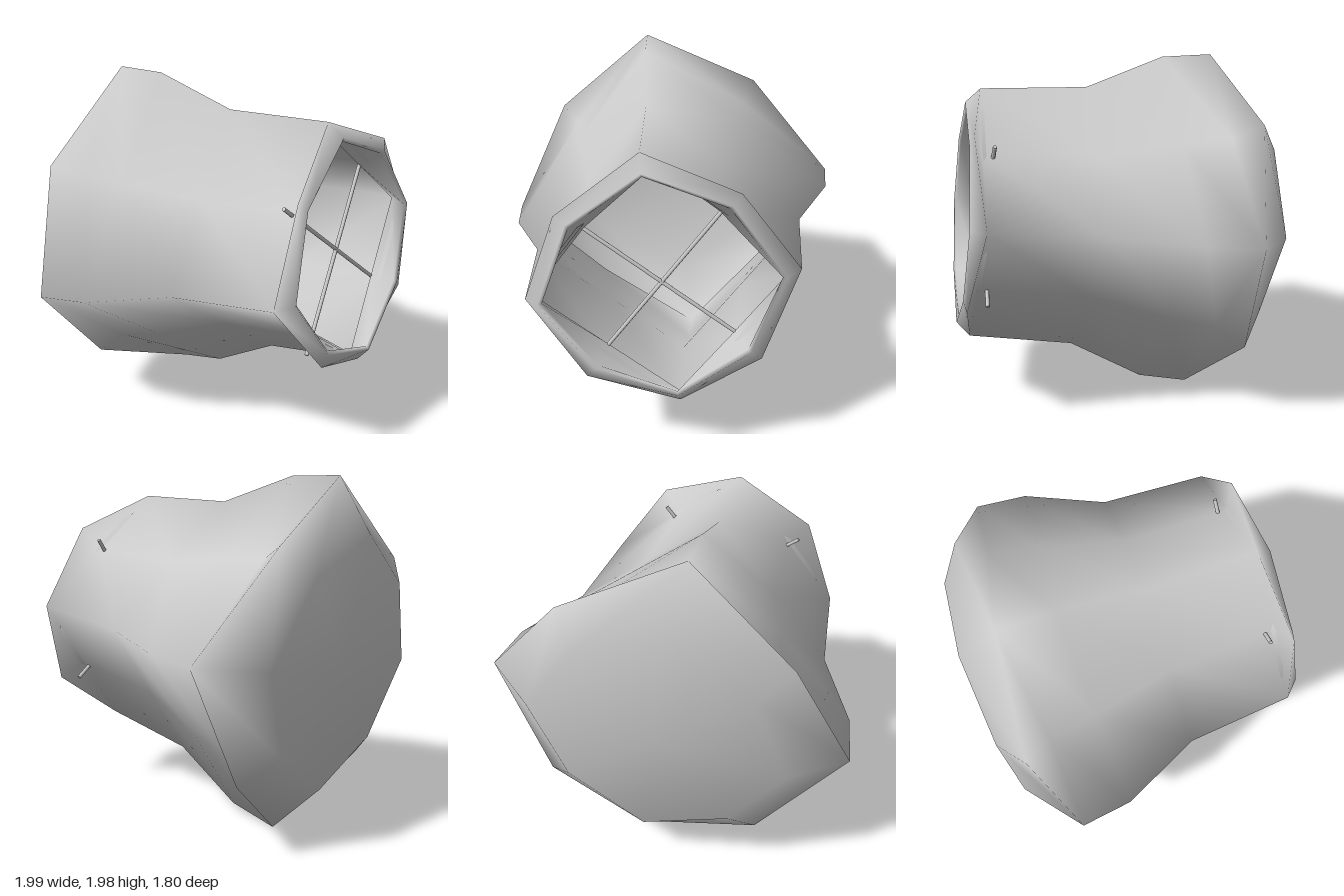
import * as THREE from 'three';
import { mergeVertices } from 'three/addons/utils/BufferGeometryUtils.js';

const ROLL = THREE.MathUtils.degToRad(8.5);
const TILT = 0.1;

// Each ring alternates four corners and four side midpoints:
// [corner radius, corner z, midpoint radius, midpoint z, rise], from front to back.
const square = (r, z) => [r, z, r * Math.SQRT1_2, z];
const RINGS = [
  square(0.685, 0.72),            // inside of the mouth
  [0.612, 0.832, 0.562, 0.832],   // inner edge of the lip
  [0.632, 0.845, 0.582, 0.845],   // front edge of the lip
  [0.713, 0.765, 0.655, 0.825],   // flared outer lip
  square(0.713, 0.765),           // neck front
  square(0.762, 0.16),            // neck back
  square(0.968, -0.285),          // shoulder
  [1.005, -0.58, 0.74, -0.55],    // widest corners
  [1.005, -0.58, 0.865, -0.69],   // sides swell to an octagon
  [0.705, -0.83, 0.65, -0.83, 0.02], // back panel edge
];

function shellGeometry() {
  const pos = [], index = [];
  for (const [cr, cz, mr, mz, rise = 0] of RINGS) {
    for (let j = 0; j < 8; j++) {
      const a = ROLL + j * Math.PI / 4;
      const r = j % 2 ? mr : cr;
      pos.push(r * Math.cos(a), r * Math.sin(a) + rise, j % 2 ? mz : cz);
    }
  }
  for (let i = 0; i < RINGS.length - 1; i++) {
    for (let j = 0; j < 8; j++) {
      const k = (j + 1) % 8;
      const a = i * 8 + j, b = i * 8 + k, c = a + 8, d = b + 8;
      index.push(a, c, b, c, d, b);
    }
  }
  // Flat back panel
  const last = (RINGS.length - 1) * 8, centre = pos.length / 3;
  pos.push(0, 0, -0.83);
  for (let j = 0; j < 8; j++) index.push(last + j, centre, last + (j + 1) % 8);

  const geo = new THREE.BufferGeometry();
  geo.setAttribute('position', new THREE.Float32BufferAttribute(pos, 3));
  geo.setIndex(index);
  const merged = mergeVertices(geo, 1e-4);
  merged.computeVertexNormals();
  return merged;
}

export function createModel() {
  const model = new THREE.Group();
  const body = new THREE.Group();
  body.name = 'tiltedVessel';
  body.position.y = 1.053;
  body.rotation.x = -TILT;
  model.add(body);

  const shell = new THREE.Mesh(
    shellGeometry(),
    new THREE.MeshStandardMaterial({ color: 0xcccccc, side: THREE.DoubleSide })
  );
  shell.name = 'shell';
  body.add(shell);

  // Two thin rods crossing the mouth, their ends poking through the neck
  const rodMaterial = new THREE.MeshStandardMaterial({ color: 0xcccccc });
  const rodGeometry = new THREE.CylinderGeometry(0.011, 0.011, 1.2, 8);
  for (const side of [-1, 1]) {
    const rod = new THREE.Mesh(rodGeometry, rodMaterial);
    rod.name = side < 0 ? 'crossRodRising' : 'crossRodFalling';
    rod.position.set(0, -0.012, 0.715);
    rod.rotation.z = ROLL + side * Math.PI / 4;
    body.add(rod);
  }
  return model;
}
